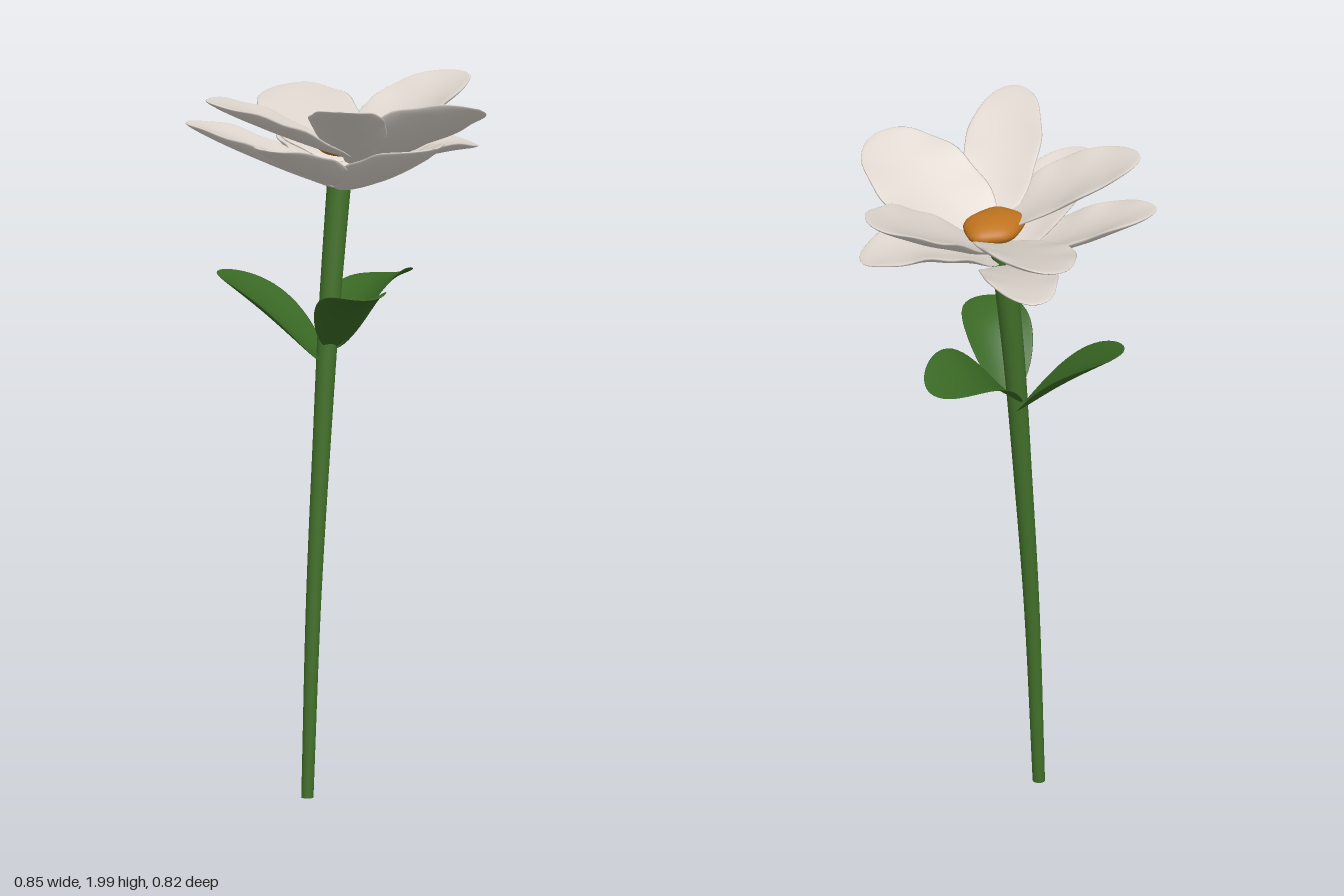
import * as THREE from 'three';
import { ParametricGeometry } from 'three/addons/geometries/ParametricGeometry.js';

const mat = (color) => new THREE.MeshStandardMaterial({ color });
const petalMat = mat(0xddd5cd), stemMat = mat(0x42702a), leafMat = mat(0x396824), discMat = mat(0xc0741f);

// Thin cupped blade from base to tip: elliptical cross-sections, narrow base, rounded end.
// half = half width, cup = rise of the edges, bow = upward arch, roll = lift of one edge.
function blade(name, material, { base, tip, half, cup, bow = 0, roll = 0, thick = 0.014, wave = 0.003, widest = 0.87 }) {
  const start = new THREE.Vector3(...base);
  const along = new THREE.Vector3(...tip).sub(start);
  const dir = along.clone().normalize();
  const flatSide = dir.clone().cross(new THREE.Vector3(0, 1, 0)).normalize();
  const flatUp = flatSide.clone().cross(dir);
  const side = flatSide.clone().multiplyScalar(Math.cos(roll)).addScaledVector(flatUp, Math.sin(roll));
  const up = side.clone().cross(dir);
  const geometry = new ParametricGeometry((u, v, out) => {
    const t = Math.pow((1 - Math.cos(Math.PI * u)) / 2, widest);
    const w = Math.max(Math.sin(Math.PI * u), 0.01);
    const a = v * Math.PI * 2, s = Math.cos(a);
    const ripple = wave * s * s * w * Math.sin(t * 19 + s * 2 + tip[0] * 30);
    out.copy(start).addScaledVector(along, t)
      .addScaledVector(side, s * w * half + ripple)
      .addScaledVector(up, cup * s * s * w * w + thick * Math.sin(a) * w + ripple);
    out.y += bow * Math.sin(Math.PI * t);
  }, 28, 28);
  const mesh = new THREE.Mesh(geometry, material);
  mesh.name = name;
  return mesh;
}

function createStem() {
  const group = new THREE.Group();
  group.name = 'stem';
  const curve = new THREE.CatmullRomCurve3([
    [-0.175, 0, -0.025], [-0.145, 0.55, -0.025], [-0.105, 1, -0.025], [-0.07, 1.35, -0.025], [-0.022, 1.71, -0.025],
  ].map((p) => new THREE.Vector3(...p)));
  const shaft = new THREE.Mesh(new ParametricGeometry((u, v, out) => {
    const a = v * Math.PI * 2, r = 0.017 + 0.017 * u;
    curve.getPoint(u, out);
    out.x += r * Math.cos(a);
    out.z += r * Math.sin(a);
  }, 24, 16), stemMat);
  shaft.name = 'stemShaft';
  const cap = new THREE.Mesh(new THREE.CircleGeometry(0.017, 16), stemMat);
  cap.name = 'stemEnd';
  cap.rotation.x = Math.PI / 2;
  cap.position.set(-0.175, 0, -0.025);
  group.add(shaft, cap);
  return group;
}

// Flower centre: a flattened, slightly uneven dome
function createDisc() {
  const geometry = new THREE.SphereGeometry(1, 32, 20);
  const p = geometry.attributes.position;
  for (let i = 0; i < p.count; i++) {
    const a = Math.atan2(p.getZ(i), p.getX(i));
    const k = 1 + 0.04 * Math.cos(5 * a + 0.6);
    p.setXYZ(i, p.getX(i) * 0.096 * k, p.getY(i) * 0.036, p.getZ(i) * 0.076 * k);
  }
  geometry.computeVertexNormals();
  const mesh = new THREE.Mesh(geometry, discMat);
  mesh.name = 'flowerCentre';
  mesh.position.set(0.008, 1.805, -0.018);
  return mesh;
}

export function createModel() {
  const model = new THREE.Group();
  model.name = 'flower';
  model.add(createStem(), createDisc());

  // Upper ring of petals
  const upper = [
    { base: [0.0, 1.755, -0.02], tip: [0.225, 1.88, -0.4], half: 0.13, cup: 0.03, roll: 0.15, widest: 0.92 },
    { base: [0.03, 1.75, -0.04], tip: [0.42, 1.945, 0.08], half: 0.134, cup: 0.035, bow: -0.005 },
    { base: [0.015, 1.745, -0.02], tip: [0.03, 1.945, 0.405], half: 0.135, cup: 0.03, roll: 0.38, widest: 0.92 },
    { base: [-0.01, 1.765, 0.02], tip: [-0.39, 1.99, 0.235], half: 0.105, cup: 0.025, bow: 0.01, widest: 0.95 },
    { base: [-0.03, 1.775, 0.02], tip: [-0.35, 1.955, -0.24], half: 0.12, cup: 0.03, widest: 0.92 },
  ];
  // Lower ring of petals, rising from the stem top
  const lower = [
    { base: [-0.01, 1.68, -0.01], tip: [-0.422, 1.86, 0.005], half: 0.105, cup: 0.03 },
    { base: [-0.02, 1.68, -0.02], tip: [-0.265, 1.865, -0.37], half: 0.098, cup: 0.03 },
    { base: [0.0, 1.68, -0.03], tip: [0.23, 1.77, -0.355], half: 0.1, cup: 0.03, bow: 0.01 },
    { base: [-0.01, 1.685, -0.02], tip: [0.345, 1.765, 0.175], half: 0.112, cup: 0.03, bow: 0.035 },
    { base: [-0.01, 1.675, -0.02], tip: [-0.085, 1.845, 0.335], half: 0.128, cup: 0.045, bow: -0.01 },
  ];
  upper.forEach((o, i) => model.add(blade('upperPetal' + (i + 1), petalMat, o)));
  lower.forEach((o, i) => model.add(blade('lowerPetal' + (i + 1), petalMat, o)));

  // Leaves
  const leaf = { thick: 0.006, wave: 0, widest: 0.9 };
  model.add(
    blade('leftLeaf', leafMat, { ...leaf, base: [-0.08, 1.23, -0.02], tip: [0.28, 1.395, -0.02], half: 0.108, cup: 0.03, bow: 0.055, roll: 0.25 }),
    blade('backLeaf', leafMat, { ...leaf, base: [-0.08, 1.2, -0.03], tip: [-0.175, 1.44, -0.325], half: 0.108, cup: 0.03, bow: 0.015 }),
    blade('rightLeaf', leafMat, { ...leaf, base: [-0.075, 1.24, -0.01], tip: [-0.2, 1.425, 0.2], half: 0.095, cup: 0.03, bow: 0.04 }),
  );
  return model;
}
